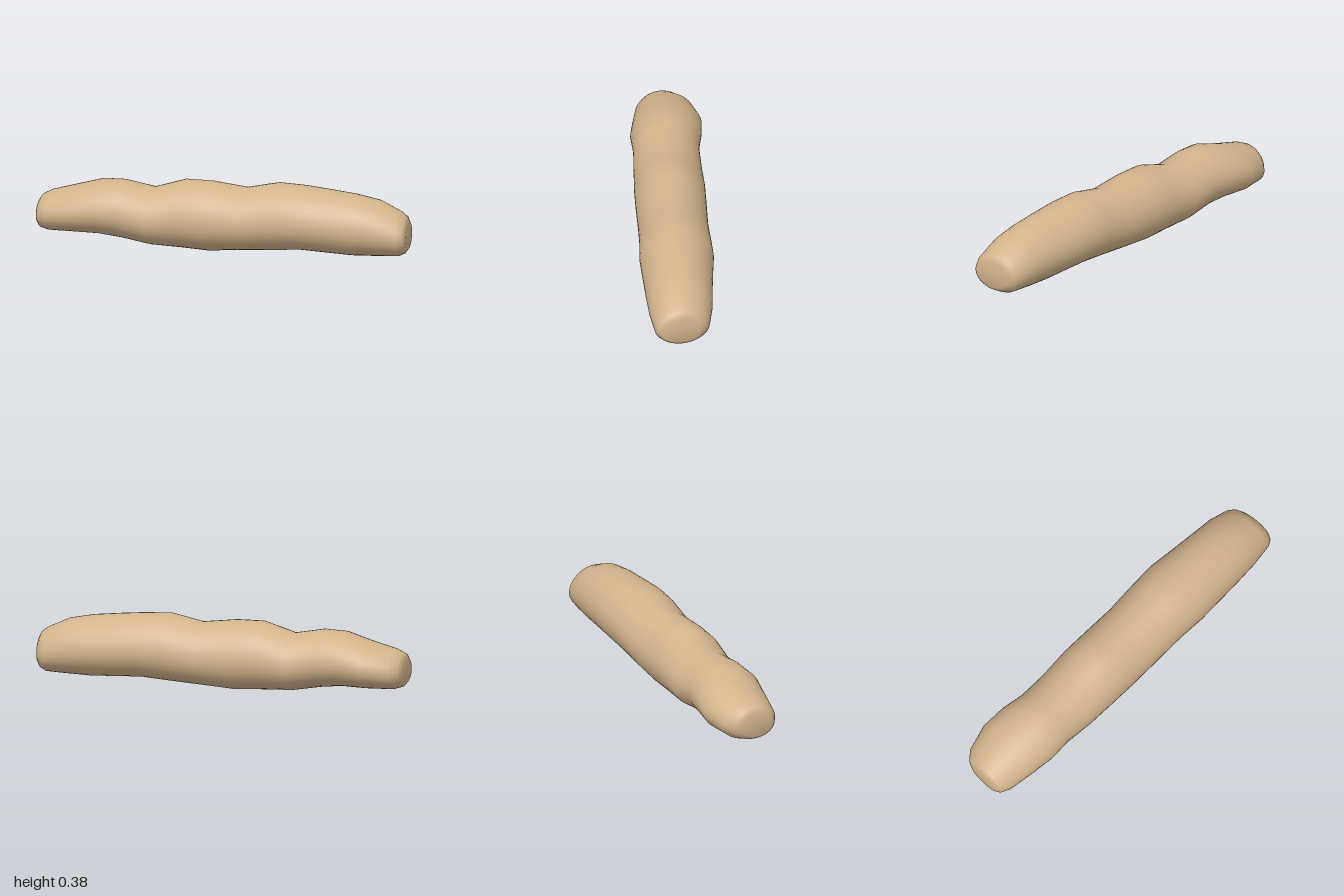
import * as THREE from 'three';

// Cross-sections along the body: x, bottom y, top y, back z, front z
const SECTIONS = [
  [-1, 0.085, 0.215, -0.08, 0.09],
  [-0.985, 0.065, 0.24, -0.115, 0.115],
  [-0.94, 0.053, 0.262, -0.158, 0.138],
  [-0.8, 0.053, 0.3, -0.197, 0.162],
  [-0.67, 0.055, 0.338, -0.19, 0.18],
  [-0.55, 0.042, 0.343, -0.171, 0.171],
  [-0.39, 0.016, 0.314, -0.178, 0.177],
  [-0.22, 0.01, 0.367, -0.184, 0.184],
  [-0.08, 0.003, 0.367, -0.184, 0.184],
  [0.11, 0.018, 0.345, -0.183, 0.181],
  [0.28, 0.03, 0.382, -0.189, 0.183],
  [0.42, 0.042, 0.376, -0.195, 0.19],
  [0.55, 0.037, 0.365, -0.184, 0.183],
  [0.7, 0.031, 0.35, -0.173, 0.174],
  [0.83, 0.036, 0.325, -0.165, 0.164],
  [0.945, 0.042, 0.272, -0.146, 0.142],
  [0.975, 0.058, 0.25, -0.125, 0.124],
  [0.99, 0.08, 0.222, -0.095, 0.1],
];
const SIDES = 40;

// Lofts the sections into one closed skin with a rounded triangular lean
function loftGeometry() {
  const positions = [];
  const index = [];
  for (const [x, bottom, top, back, front] of SECTIONS) {
    const cy = (bottom + top) / 2, cz = (back + front) / 2;
    const slant = 0.1 * THREE.MathUtils.smoothstep(x, 0.8, 0.98);
    for (let j = 0; j < SIDES; j++) {
      const a = (j / SIDES) * Math.PI * 2;
      const s = Math.sin(a);
      const z = cz + Math.cos(a) * (1 - 0.09 * s) * (front - back) / 2;
      positions.push(x + slant * z, cy + s * (top - bottom) / 2, z);
    }
  }
  const last = SECTIONS.length - 1;
  for (let i = 0; i < last; i++) {
    for (let j = 0; j < SIDES; j++) {
      const k = (j + 1) % SIDES;
      const a = i * SIDES + j, b = i * SIDES + k;
      index.push(a, a + SIDES, b, b, a + SIDES, b + SIDES);
    }
  }
  // End caps fan out from a centre point
  const start = positions.length / 3;
  positions.push(-1, 0.15, 0.005, 0.992, 0.15, 0);
  for (let j = 0; j < SIDES; j++) {
    const k = (j + 1) % SIDES;
    index.push(start, j, k);
    index.push(start + 1, last * SIDES + k, last * SIDES + j);
  }
  const geometry = new THREE.BufferGeometry();
  geometry.setAttribute('position', new THREE.Float32BufferAttribute(positions, 3));
  geometry.setIndex(index);
  geometry.computeVertexNormals();
  return geometry;
}

export function createModel() {
  const group = new THREE.Group();
  group.name = 'lumpyRoll';
  const tan = new THREE.MeshStandardMaterial({ color: 0xd2b48c });
  tan.name = 'tan';
  const body = new THREE.Mesh(loftGeometry(), tan);
  body.name = 'body';
  group.add(body);
  return group;
}
